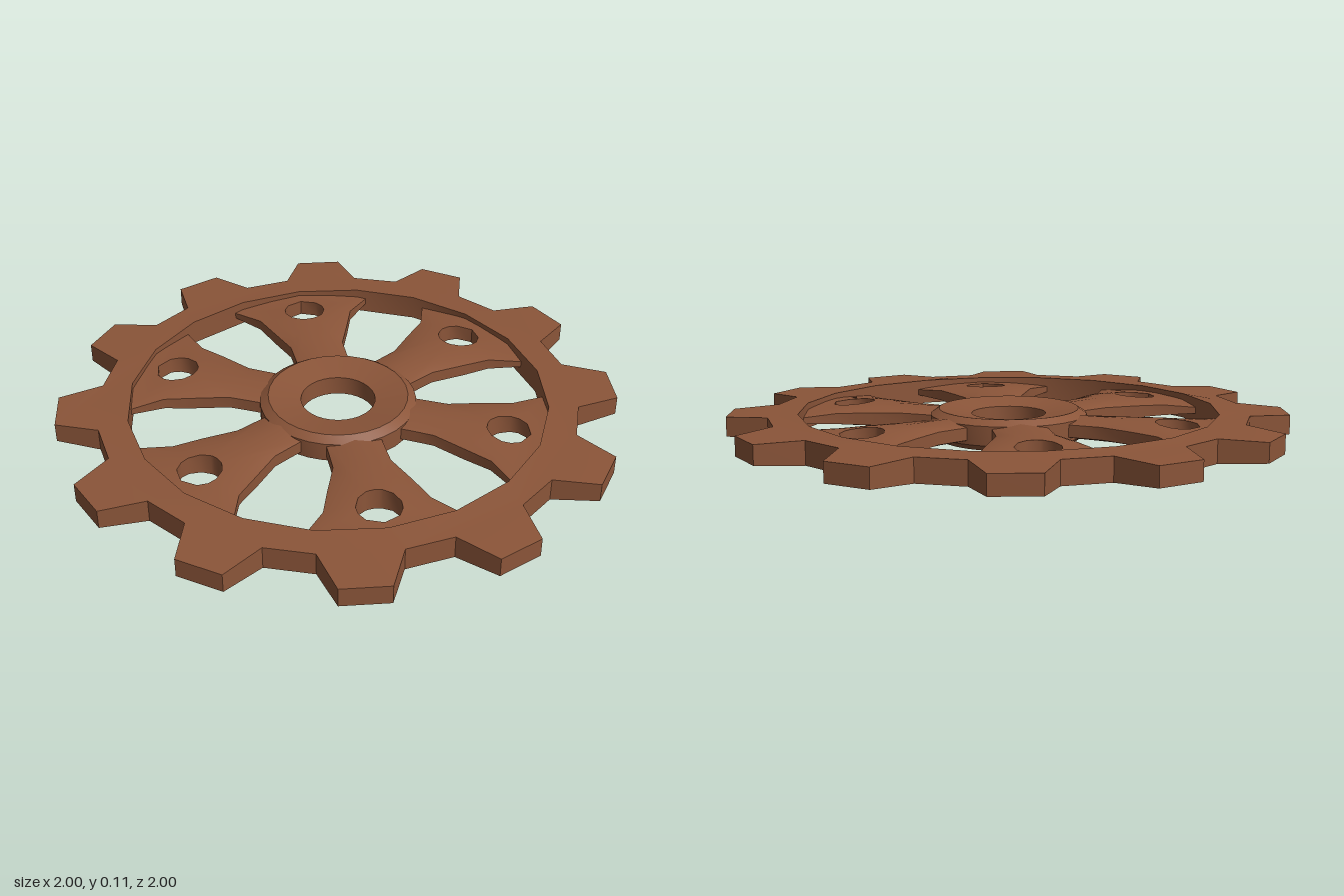
import * as THREE from 'three';
import { toCreasedNormals } from 'three/addons/utils/BufferGeometryUtils.js';

const MID = 0.058; // height of the wheel's middle plane
const rad = THREE.MathUtils.degToRad;
const polar = (r, deg) => new THREE.Vector2(r * Math.sin(rad(deg)), r * Math.cos(rad(deg)));

// Toothed ring, thinning slightly towards the tooth tips
function rimGeometry() {
  const outline = [];
  for (let i = 0; i < 12; i++) {
    const a = 7.5 + i * 30;
    outline.push(polar(0.853, a - 9.3), polar(1, a - 4.8), polar(1, a + 4.8), polar(0.853, a + 9.3));
  }
  const shape = new THREE.Shape(outline);
  const inner = [];
  for (let i = 0; i < 20; i++) inner.push(polar(0.748, -i * 18));
  shape.holes.push(new THREE.Path(inner));
  const geo = new THREE.ExtrudeGeometry(shape, { depth: 1, bevelEnabled: false });
  geo.rotateX(-Math.PI / 2);
  const p = geo.attributes.position;
  for (let i = 0; i < p.count; i++) {
    const half = 0.046 - 0.046 * (Math.hypot(p.getX(i), p.getZ(i)) - 0.75);
    p.setY(i, MID + (p.getY(i) > 0.5 ? half : -half));
  }
  return toCreasedNormals(geo, 0.4);
}

// Dished hub with a shaft hole and a sloping collar
function hubGeometry() {
  const profile = [
    [0.133, 0.02], [0.25, 0], [0.28, 0.022], [0.28, 0.09],
    [0.25, 0.11], [0.133, 0.09], [0.133, 0.02],
  ].map(([r, y]) => new THREE.Vector2(r, y));
  return toCreasedNormals(new THREE.LatheGeometry(profile, 32), 0.4);
}

// Half of the spoke outline: [half width, distance from the axle]
const SIDE = [[0.097, 0.24], [0.098, 0.31], [0.1, 0.38], [0.145, 0.5], [0.18, 0.6], [0.272, 0.702]];

function spokeHalfWidth(r) {
  for (let i = 1; i < SIDE.length; i++) {
    const [w0, r0] = SIDE[i - 1], [w1, r1] = SIDE[i];
    if (r <= r1) return w0 + (w1 - w0) * Math.max(0, (r - r0) / (r1 - r0));
  }
  return 0.28;
}

// Flared spoke: rings run from the outline to the round hole, above and below
function spokeGeometry() {
  const right = [...SIDE, [0.14, 0.755]];
  const outline = [[0, 0.24], ...right, [0, 0.765],
    ...right.map(([x, r]) => [-x, r]).reverse()];
  const holeR = 0.077, holeAt = 0.623, steps = 6;
  const n = outline.length, m = 2 * (steps + 1);
  const pos = [], idx = [];
  for (const [ox, or] of outline) {
    const len = Math.hypot(ox, or - holeAt);
    const hx = ox / len * holeR, hr = holeAt + (or - holeAt) / len * holeR;
    for (let j = 0; j < m; j++) {
      const top = j <= steps;
      const t = (top ? j : m - 1 - j) / steps;
      const x = ox + (hx - ox) * t, r = or + (hr - or) * t;
      const s = Math.min(1, Math.abs(x) / spokeHalfWidth(r));
      const half = 0.04 - 0.018 * s * s - 0.012 * THREE.MathUtils.smoothstep(r, 0.55, 0.72);
      pos.push(x, MID + (top ? half : -half), -r);
    }
  }
  for (let i = 0; i < n; i++) {
    for (let j = 0; j < m; j++) {
      const i2 = (i + 1) % n, j2 = (j + 1) % m;
      const a = i * m + j, b = i2 * m + j, c = i2 * m + j2, d = i * m + j2;
      idx.push(a, b, d, b, c, d);
    }
  }
  const geo = new THREE.BufferGeometry();
  geo.setAttribute('position', new THREE.Float32BufferAttribute(pos, 3));
  geo.setIndex(idx);
  return toCreasedNormals(geo, 0.8);
}

export function createModel() {
  const model = new THREE.Group();
  model.name = 'gearWheel';
  const bronze = new THREE.MeshStandardMaterial({ color: 0x8b5539 });
  bronze.name = 'bronze brown';

  const add = (name, geo) => {
    const mesh = new THREE.Mesh(geo, bronze);
    mesh.name = name;
    model.add(mesh);
    return mesh;
  };

  add('toothedRim', rimGeometry());
  add('hub', hubGeometry());

  // Six spokes around the hub
  const spoke = spokeGeometry();
  for (let i = 0; i < 6; i++) add('spoke' + (i + 1), spoke).rotation.y = i * Math.PI / 3;

  return model;
}
